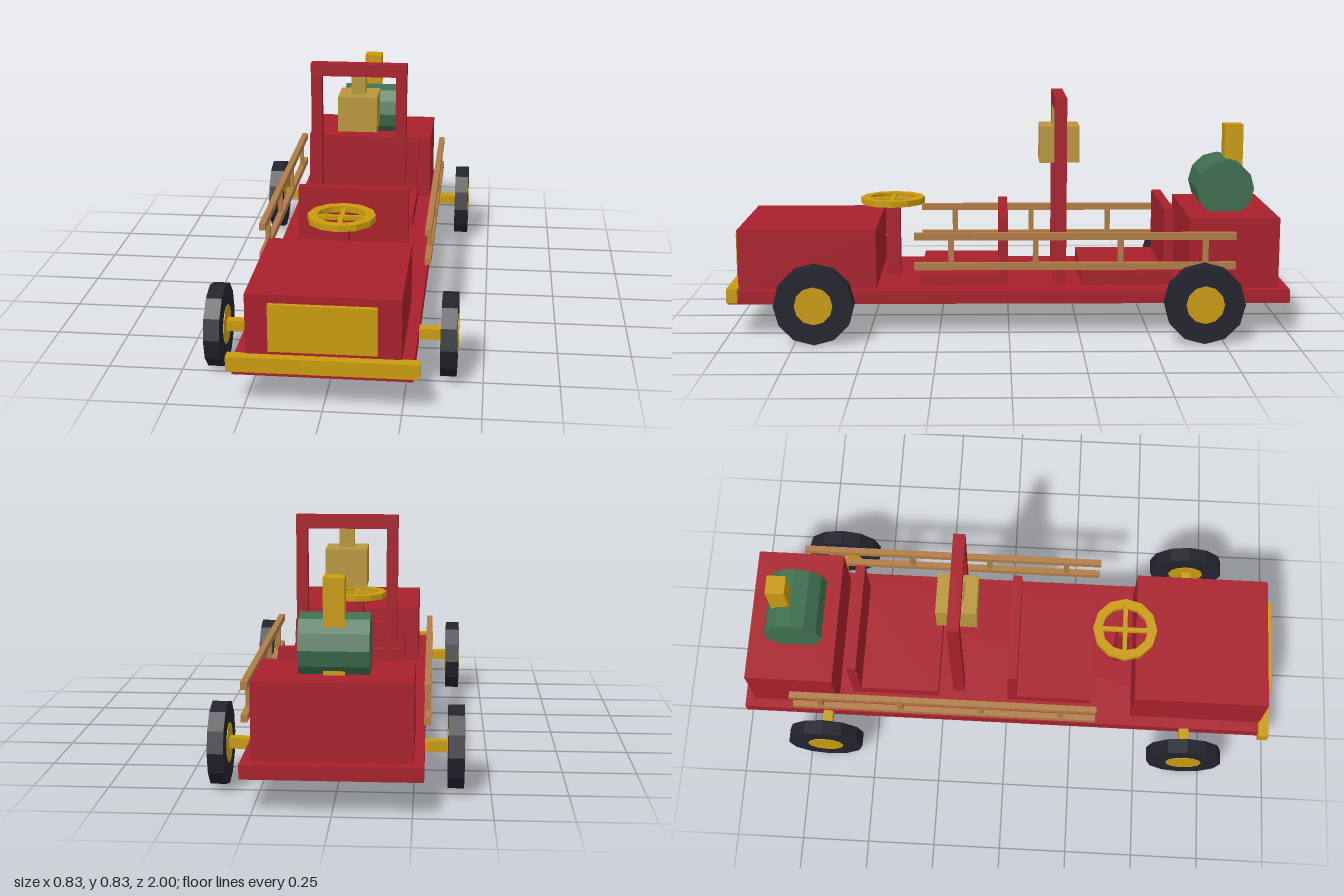
import * as THREE from 'three';

const mat = (name, color, flatShading = true) => {
  const m = new THREE.MeshStandardMaterial({ color });
  m.name = name;
  m.flatShading = flatShading;
  return m;
};

export function createModel() {
  const red = mat('red paint', 0xa8202c);
  const gold = mat('gold paint', 0xc99b0e);
  const green = mat('green paint', 0x3f6f4f);
  const brass = mat('brass', 0xb9973c);
  const wood = mat('wood', 0xb07c46);
  const rubber = mat('rubber', 0x22232d);

  const model = new THREE.Group();
  model.name = 'fireEngine';

  const add = (name, geometry, material, parent = model) => {
    const mesh = new THREE.Mesh(geometry, material);
    mesh.name = name;
    parent.add(mesh);
    return mesh;
  };
  // Box given by its limits on each axis
  const box = (name, material, [x0, x1], [y0, y1], [z0, z1], parent) => {
    const mesh = add(name, new THREE.BoxGeometry(x1 - x0, y1 - y0, z1 - z0), material, parent);
    mesh.position.set((x0 + x1) / 2, (y0 + y1) / 2, (z0 + z1) / 2);
    return mesh;
  };
  const group = (name) => {
    const g = new THREE.Group();
    g.name = name;
    model.add(g);
    return g;
  };
  // Twelve-sided cylinder lying along x
  const drum = (r, length) => new THREE.CylinderGeometry(r, r, length, 12).rotateZ(Math.PI / 2);

  // Body
  const deck = 0.162;
  box('chassis', red, [-0.285, 0.285], [0.115, deck], [-1, 0.9992]);
  box('hood', red, [-0.246, 0.246], [deck, 0.375], [0.474, 0.967]);
  box('grille', gold, [-0.172, 0.172], [0.19, 0.348], [0.967, 0.983]);
  box('bumper', gold, [-0.305, 0.305], [0.124, 0.174], [0.962, 1]);
  box('rearBody', red, [-0.252, 0.252], [deck, 0.415], [-0.963, -0.642]);

  // Seats
  box('frontSeat', red, [-0.205, 0.205], [deck, 0.203], [0.003, 0.318]);
  box('frontBackrest', red, [-0.205, 0.205], [0.203, 0.415], [0.003, 0.037]);
  box('rearSeat', red, [-0.205, 0.205], [deck, 0.215], [-0.59, -0.262]);
  box('rearBackrest', red, [-0.205, 0.205], [0.215, 0.441], [-0.59, -0.555]);

  // Steering column, wheel rim and crossed spokes
  const steering = group('steering');
  box('steeringColumn', red, [-0.026, 0.026], [deck, 0.431], [0.401, 0.453], steering);
  const polygon = (r) => Array.from({ length: 12 }, (_, i) => {
    const a = (i / 12) * Math.PI * 2;
    return new THREE.Vector2(Math.cos(a) * r, Math.sin(a) * r);
  });
  const rimShape = new THREE.Shape(polygon(0.118));
  rimShape.holes.push(new THREE.Path(polygon(0.085)));
  const rim = add('steeringWheelRim',
    new THREE.ExtrudeGeometry(rimShape, { depth: 0.022, bevelEnabled: false }).rotateX(-Math.PI / 2),
    gold, steering);
  rim.position.set(0, 0.431, 0.427);
  box('spokeAcross', gold, [-0.09, 0.09], [0.434, 0.449], [0.419, 0.435], steering);
  box('spokeAlong', gold, [-0.008, 0.008], [0.4345, 0.4485], [0.337, 0.517], steering);

  // Arch with hanging bell
  const arch = group('bellArch');
  for (const s of [-1, 1]) {
    box('archPost', red, [s * 0.16 - 0.02, s * 0.16 + 0.02], [deck, 0.788], [-0.207, -0.164], arch);
  }
  box('archBeam', red, [-0.181, 0.181], [0.788, 0.835], [-0.207, -0.164], arch);
  box('bellStem', brass, [-0.026, 0.026], [0.722, 0.788], [-0.212, -0.16], arch);
  box('bell', brass, [-0.073, 0.073], [0.589, 0.722], [-0.258, -0.113], arch);

  // Boiler and chimney
  add('boiler', drum(0.105, 0.224), green).position.set(0, 0.498, -0.788);
  box('chimney', gold, [-0.034, 0.034], [0.415, 0.723], [-0.862, -0.794]);

  // Ladders on both sides
  for (const s of [-1, 1]) {
    const ladder = group(s > 0 ? 'leftLadder' : 'rightLadder');
    const x = s * 0.293;
    for (const y of [0.254, 0.361]) {
      box('ladderRail', wood, [x - 0.011, x + 0.011], [y - 0.0125, y + 0.0125], [-0.8, 0.335], ladder);
    }
    for (const z of [0.205, -0.093, -0.393, -0.693]) {
      box('ladderRung', wood, [x - 0.008, x + 0.008], [0.26, 0.355], [z - 0.01, z + 0.01], ladder);
    }
  }

  // Axles and wheels
  for (const z of [0.68, -0.68]) {
    box('axle', gold, [-0.365, 0.365], [0.123, 0.159], [z - 0.018, z + 0.018]);
    for (const s of [-1, 1]) {
      const wheel = group('wheel');
      wheel.position.set(s * 0.386, 0.14, z);
      add('tyre', drum(0.14, 0.053), rubber, wheel);
      add('hub', drum(0.067, 0.058), gold, wheel);
    }
  }
  return model;
}
